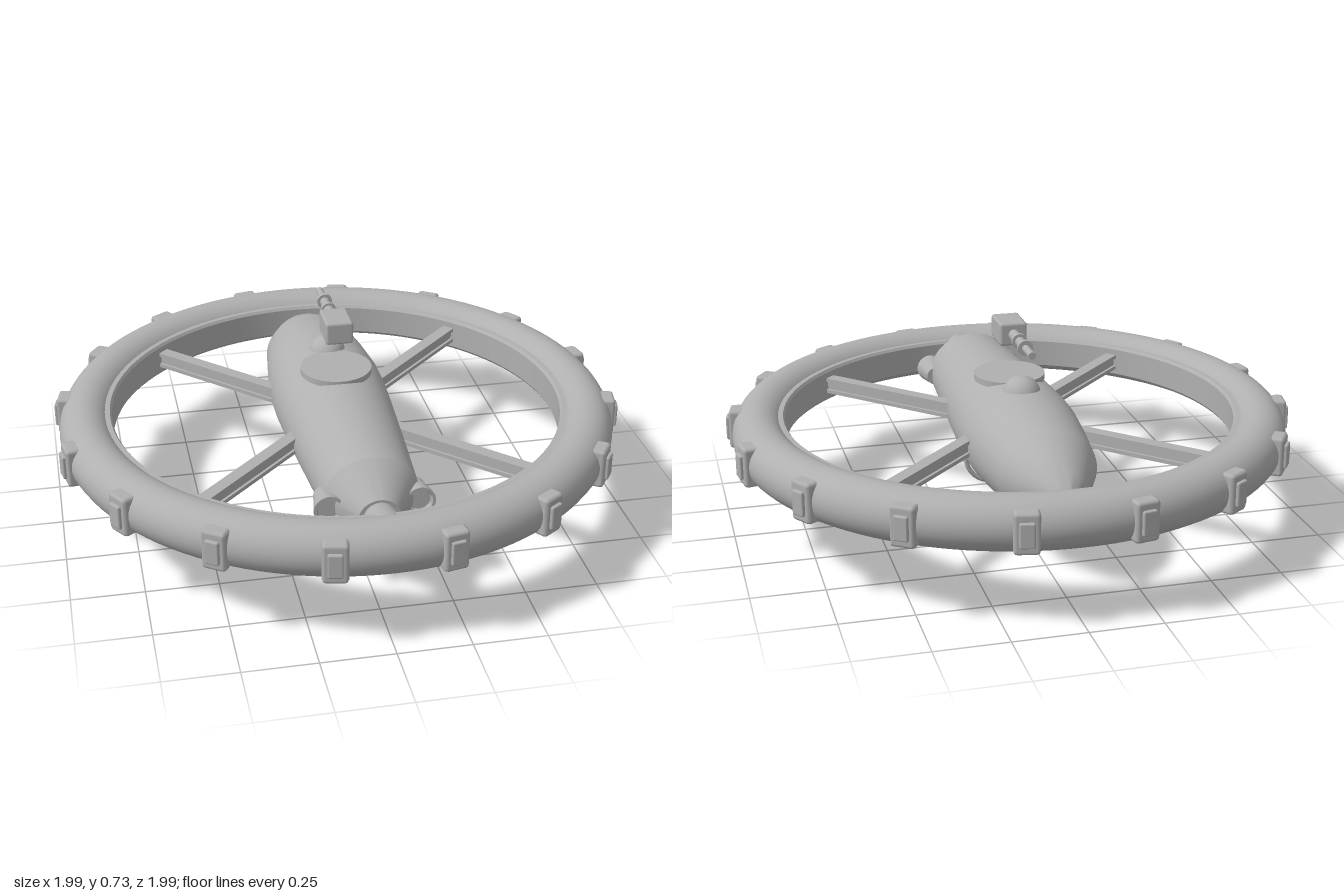
import * as THREE from 'three';
import { toCreasedNormals } from 'three/addons/utils/BufferGeometryUtils.js';
import { RoundedBoxGeometry } from 'three/addons/geometries/RoundedBoxGeometry.js';

const MID = 0.343; // height of the ring and hull axis

export function createModel() {
  const model = new THREE.Group();
  model.name = 'ringShip';
  const grey = new THREE.MeshStandardMaterial({ color: 0xb0b0b0 });
  grey.name = 'hull grey';

  const add = (name, geometry, x = 0, y = 0, z = 0, parent = model) => {
    const mesh = new THREE.Mesh(geometry, grey);
    mesh.name = name;
    mesh.position.set(x, y, z);
    parent.add(mesh);
    return mesh;
  };
  const lathe = (points, segments = 48) =>
    toCreasedNormals(
      new THREE.LatheGeometry(points.map(([r, h]) => new THREE.Vector2(r, h)), segments), 0.42);
  // Solid of revolution along z, points given as [radius, z]
  const latheZ = (points, segments) => lathe(points, segments).rotateX(Math.PI / 2);

  // Outer ring with a raised band on its inner side
  add('ring', new THREE.TorusGeometry(0.892, 0.092, 28, 112).rotateX(Math.PI / 2), 0, MID, 0);
  add('ringInnerBand', lathe([
    [0.84, -0.06], [0.84, 0.06], [0.805, 0.06], [0.798, 0.05],
    [0.798, -0.05], [0.805, -0.06], [0.84, -0.06],
  ], 112), 0, MID, 0);

  // Sixteen clamps around the ring
  for (let i = 0; i < 16; i++) {
    const clamp = new THREE.Group();
    clamp.name = 'clamp';
    clamp.position.y = MID;
    clamp.rotation.y = (i + 0.5) * Math.PI / 8;
    add('clampBody', new RoundedBoxGeometry(0.085, 0.14, 0.055, 1, 0.012), 0, 0, 0.97, clamp);
    add('clampPanel', new RoundedBoxGeometry(0.05, 0.085, 0.03, 1, 0.006), 0, 0, 0.994, clamp);
    model.add(clamp);
  }

  // Hull, slightly flattened, tapering to a blunt nose at the back
  const hull = add('hull', latheZ([
    [0, -0.755], [0.022, -0.75], [0.085, -0.69], [0.13, -0.605], [0.17, -0.515],
    [0.192, -0.35], [0.206, -0.2], [0.207, -0.1], [0.2, 0.05],
    [0.184, 0.3], [0.163, 0.6], [0.07, 0.73], [0, 0.73],
  ], 56), 0, MID, 0);
  hull.scale.y = 0.91;
  add('noseTip', latheZ([[0, -0.777], [0.014, -0.777], [0.014, -0.74]], 16), 0, MID, 0);

  // Flared stub joining the hull to the ring
  add('tailStub', latheZ([[0.05, 0.71], [0.057, 0.74], [0.075, 0.84], [0, 0.84]], 32), 0, MID, 0);

  // Side nozzles
  for (const side of [-1, 1]) {
    add('nozzle', latheZ([
      [0, 0.555], [0.034, 0.555], [0.052, 0.66], [0.042, 0.66], [0.036, 0.645], [0, 0.645],
    ], 28), side * 0.152, MID, 0);
  }

  // Diagonal I-beam struts
  for (let i = 0; i < 4; i++) {
    const strut = new THREE.Group();
    strut.name = 'strut';
    strut.position.y = MID;
    strut.rotation.y = Math.PI / 4 + i * Math.PI / 2;
    for (const dy of [-0.022, 0.022]) {
      add('strutFlange', new THREE.BoxGeometry(0.046, 0.014, 0.68), 0, dy, 0.48, strut);
    }
    add('strutWeb', new THREE.BoxGeometry(0.026, 0.04, 0.68), 0, 0, 0.48, strut);
    model.add(strut);
  }

  // Deck plate, upper dome and belly blister
  add('deckPlate', new THREE.CylinderGeometry(0.126, 0.126, 0.022, 48), 0, 0.519, 0);
  add('upperDome', new THREE.SphereGeometry(0.068, 32, 20), 0, 0.502, -0.172);
  add('bellyBlister', new THREE.SphereGeometry(1, 36, 24), 0, 0.21, -0.305).scale.set(0.115, 0.085, 0.18);

  // Floating gun above the deck
  add('gunBody', new RoundedBoxGeometry(0.098, 0.082, 0.136, 1, 0.01), 0, 0.687, 0.004);
  add('gunBarrel', latheZ([
    [0, -0.312], [0.013, -0.312], [0.013, -0.225], [0.027, -0.225], [0.027, -0.21],
    [0.017, -0.21], [0.017, -0.147], [0.027, -0.147], [0.027, -0.132],
    [0.019, -0.132], [0.019, -0.05],
  ], 24), 0, 0.687, 0);

  // Ball in a cage of two crossed rings under the hull
  add('ball', new THREE.SphereGeometry(0.074, 32, 24), 0, 0.112, 0.26);
  for (const turn of [0, Math.PI / 2]) {
    add('cageRing', new THREE.TorusGeometry(0.102, 0.009, 10, 56).rotateY(turn), 0, 0.111, 0.26);
  }

  return model;
}
